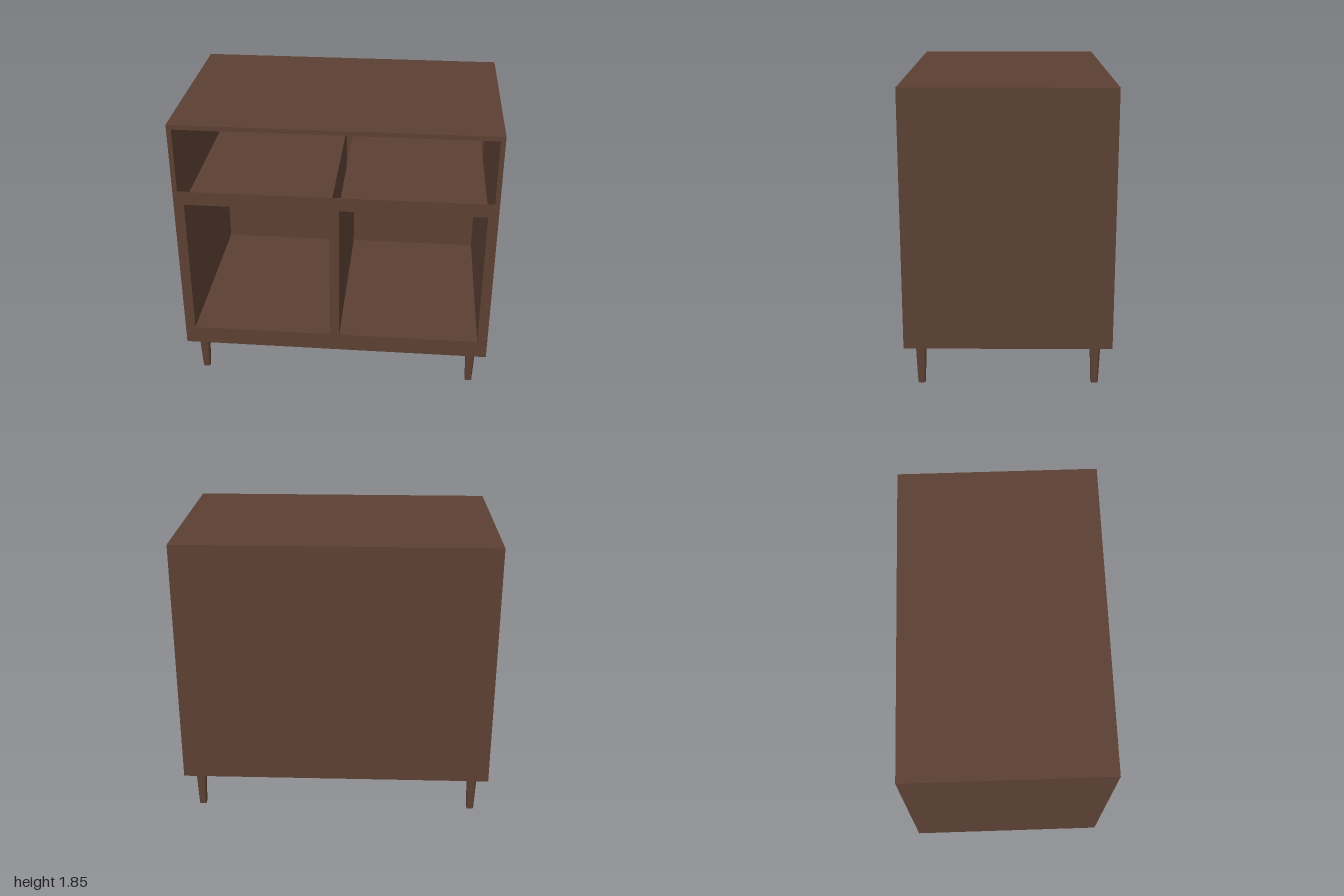
import * as THREE from 'three';
import { ConvexGeometry } from 'three/addons/geometries/ConvexGeometry.js';

const W = 1, D = 0.633, BOTTOM = 0.26, TOP = 1.845, T = 0.03, FACE = 0.004;

export function createModel() {
  const model = new THREE.Group();
  const wood = new THREE.MeshStandardMaterial({ color: 0x5c4033 });
  wood.name = 'darkWood';

  const add = (name, geometry, parent = model) => {
    const mesh = new THREE.Mesh(geometry, wood);
    mesh.name = name;
    parent.add(mesh);
    return mesh;
  };
  // Box given by its minimum and maximum corners
  const slab = (name, x0, x1, y0, y1, z0, z1, parent) =>
    add(name, new THREE.BoxGeometry(x1 - x0, y1 - y0, z1 - z0), parent)
      .position.set((x0 + x1) / 2, (y0 + y1) / 2, (z0 + z1) / 2);

  // Hollow outer case
  const front = D - FACE;
  slab('topPanel', -W, W, TOP - T, TOP, -D, front);
  slab('bottomPanel', -W, W, BOTTOM, BOTTOM + T, -D, front);
  slab('rightSide', -W, -W + T, BOTTOM + T, TOP - T, -D, front);
  slab('leftSide', W - T, W, BOTTOM + T, TOP - T, -D, front);
  slab('backPanel', -W + T, W - T, BOTTOM + T, TOP - T, -D, -D + T);

  // Thin face frame with one wide opening over two square ones
  const rect = (Shape, x0, x1, y0, y1) => new Shape([
    new THREE.Vector2(x0, y0), new THREE.Vector2(x1, y0),
    new THREE.Vector2(x1, y1), new THREE.Vector2(x0, y1),
  ]);
  const openings = [[-0.935, -0.03, 0.38, 1.31], [0.03, 0.935, 0.38, 1.31]];
  const face = rect(THREE.Shape, -W, W, BOTTOM, TOP);
  for (const o of [[-W + T, W - T, 1.4, TOP - T], ...openings]) face.holes.push(rect(THREE.Path, ...o));
  add('faceFrame', new THREE.ExtrudeGeometry(face, { depth: FACE, bevelEnabled: false })).position.z = front;

  // Thin-walled cubbies behind the lower openings
  const back = -D + T, t = 0.004;
  openings.forEach(([x0, x1, y0, y1], i) => {
    const cubby = new THREE.Group();
    cubby.name = i ? 'leftCubby' : 'rightCubby';
    slab('cubbyFloor', x0, x1, y0 - t, y0, back, front, cubby);
    slab('cubbyCeiling', x0, x1, y1, y1 + t, back, front, cubby);
    slab('cubbyOuterWall', x0 - t, x0, y0 - t, y1 + t, back, front, cubby);
    slab('cubbyInnerWall', x1, x1 + t, y0 - t, y1 + t, back, front, cubby);
    slab('cubbyBack', x0, x1, y0, y1, back, back + t, cubby);
    model.add(cubby);
  });

  // Tapered square legs with chamfered corners
  const points = [];
  for (const [y, h] of [[0, 0.022], [BOTTOM, 0.032]]) {
    const c = h * 0.7;
    for (const sx of [-1, 1]) for (const sz of [-1, 1]) {
      points.push(new THREE.Vector3(sx * h, y, sz * c), new THREE.Vector3(sx * c, y, sz * h));
    }
  }
  const legGeometry = new ConvexGeometry(points);
  for (const sx of [-1, 1]) for (const sz of [-1, 1]) {
    const name = (sz > 0 ? 'front' : 'back') + (sx > 0 ? 'Left' : 'Right') + 'Leg';
    add(name, legGeometry).position.set(sx * 0.902, 0, sz * 0.535);
  }
  return model;
}
